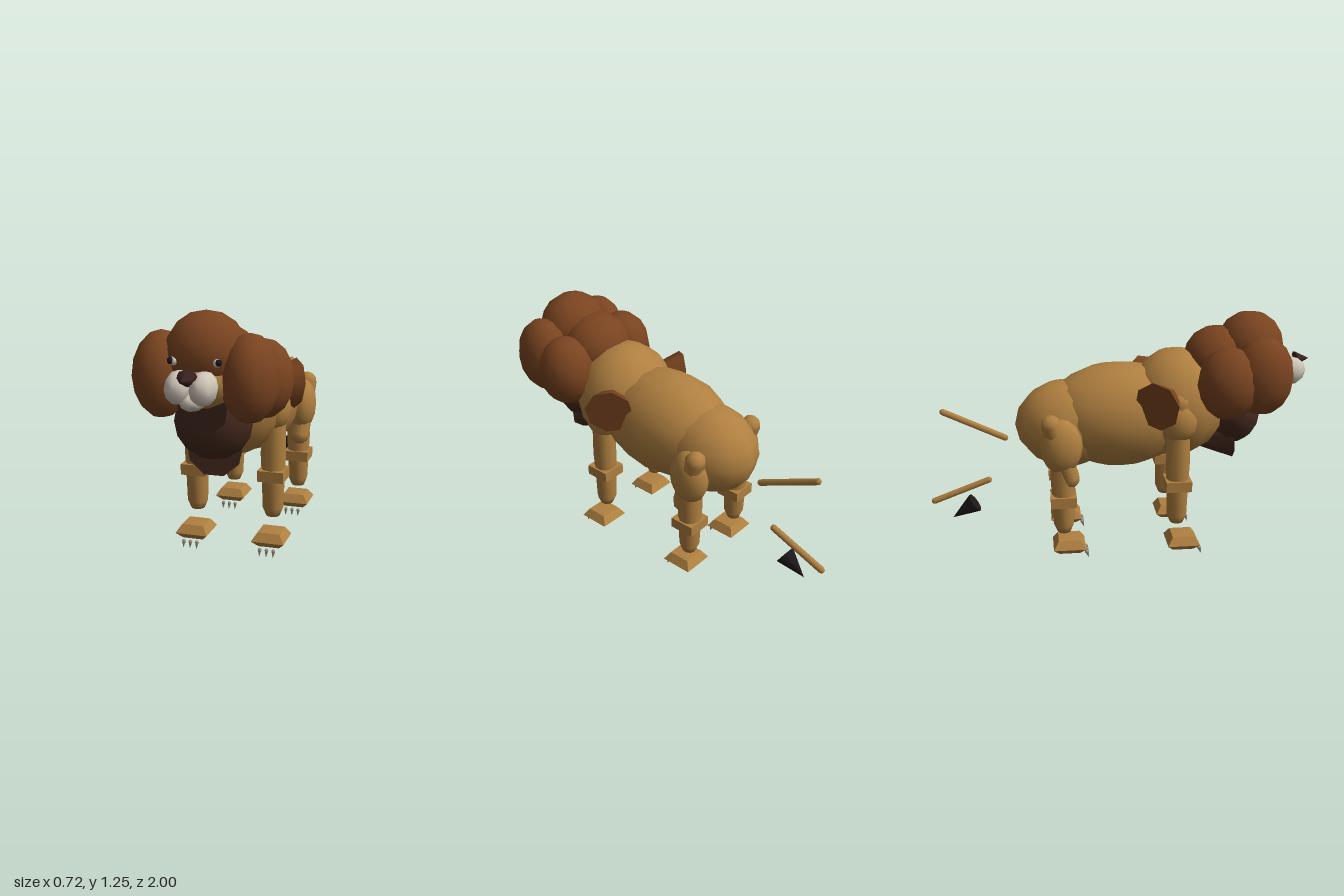
import * as THREE from 'three';

const mat = (color) => new THREE.MeshStandardMaterial({ color });
const fur = mat(0xb08040), maneFur = mat(0x7a4420), ruffFur = mat(0x45291e);
const pale = mat(0xcfc5b8), black = mat(0x1e1819), noseSkin = mat(0x3a2320), claw = mat(0xa09585);
const V = (p) => new THREE.Vector3(...p);
const UP = new THREE.Vector3(0, 1, 0);

export function createModel() {
  const root = new THREE.Group();
  root.name = 'lion';

  const add = (name, geometry, material, pos = [0, 0, 0], parent = root) => {
    const mesh = new THREE.Mesh(geometry, material);
    mesh.name = name;
    mesh.position.set(...pos);
    parent.add(mesh);
    return mesh;
  };
  // Ellipsoid given by centre and three radii
  const blob = (name, material, pos, radii, parent, w = 12, h = 8) => {
    const mesh = add(name, new THREE.SphereGeometry(1, w, h), material, pos, parent);
    mesh.scale.set(...radii);
    return mesh;
  };
  // Round-ended limb between two end points
  const limb = (name, material, a, b, r, parent) => {
    const d = V(b).sub(V(a)), len = d.length();
    const mesh = add(name, new THREE.CapsuleGeometry(r, len - 2 * r, 3, 8), material,
      V(a).add(V(b)).multiplyScalar(0.5).toArray(), parent);
    mesh.quaternion.setFromUnitVectors(UP, d.normalize());
    return mesh;
  };
  // Cone from the centre of its base to its tip
  const spike = (name, material, base, tip, r, sides, parent) => {
    const d = V(tip).sub(V(base));
    const mesh = add(name, new THREE.ConeGeometry(r, d.length(), sides), material,
      V(base).add(V(tip)).multiplyScalar(0.5).toArray(), parent);
    mesh.quaternion.setFromUnitVectors(UP, d.normalize());
    return mesh;
  };

  // Trunk
  blob('torso', fur, [0, 0.72, 0], [0.26, 0.275, 0.4]);
  blob('chest', fur, [0, 0.78, 0.3], [0.265, 0.285, 0.26]);
  blob('hips', fur, [0, 0.68, -0.27], [0.22, 0.23, 0.275]);

  // Head and muzzle
  blob('head', fur, [0, 0.95, 0.7], [0.16, 0.135, 0.16]);
  blob('chin', pale, [0, 0.88, 0.865], [0.058, 0.043, 0.075], root, 8, 6);
  spike('nose', noseSkin, [0, 0.99, 0.925], [0, 0.99, 1], 0.05, 8).scale.z = 0.75;

  // Mane crown, and dark ruff with two tufts
  blob('maneTop', maneFur, [0, 1.06, 0.68], [0.19, 0.187, 0.178]);
  blob('maneBack', maneFur, [0, 1.0, 0.51], [0.19, 0.175, 0.18]);
  blob('ruff', ruffFur, [0, 0.735, 0.6], [0.19, 0.185, 0.145]);
  spike('upperRuffTuft', ruffFur, [0, 0.82, 0.75], [0, 0.84, 0.5], 0.12, 9);
  spike('lowerRuffTuft', ruffFur, [0, 0.6, 0.59], [0, 0.57, 0.3], 0.14, 9);

  // Tail in two lengths, with a tuft
  limb('upperTail', fur, [0, 0.6, -0.585], [0, 0.765, -0.925], 0.017);
  limb('lowerTail', fur, [0, 0.38, -0.68], [0, 0.26, -1.0], 0.017);
  spike('tailTuft', black, [0, 0.246, -0.774], [0, 0.165, -0.895], 0.053, 9);

  for (const [side, s] of [['left', 1], ['right', -1]]) {
    // Face
    blob(side + 'Muzzle', pale, [0.055 * s, 0.94, 0.88], [0.062, 0.075, 0.09], root, 8, 6);
    blob(side + 'EyeWhite', pale, [0.098 * s, 1.042, 0.825], [0.02, 0.02, 0.02], root, 8, 6);
    blob(side + 'Pupil', black, [0.109 * s, 1.045, 0.838], [0.015, 0.016, 0.015], root, 8, 6);

    // Side mane lumps and the tuft behind each shoulder
    blob(side + 'FrontMane', maneFur, [0.205 * s, 0.957, 0.7], [0.13, 0.2, 0.158]);
    blob(side + 'RearMane', maneFur, [0.215 * s, 0.925, 0.525], [0.143, 0.185, 0.158]);
    spike(side + 'ShoulderTuft', maneFur, [0.277 * s, 0.835, 0.155], [0.08 * s, 0.86, 0.3], 0.125, 8);

    // Front leg
    const front = new THREE.Group();
    front.name = side + 'FrontLeg';
    root.add(front);
    blob('shoulder', fur, [0.205 * s, 0.735, 0.28], [0.08, 0.115, 0.098], front);
    limb('upperArm', fur, [0.215 * s, 0.885, 0.28], [0.2 * s, 0.5, 0.28], 0.055, front);
    lowerLeg(front, 0.2 * s, 0.28, 0.17, 0.65, 0.395);
    paw(front, 0.2 * s, 0.31, 0.0);

    // Hind leg
    const hind = new THREE.Group();
    hind.name = side + 'HindLeg';
    root.add(hind);
    blob('haunch', fur, [0.205 * s, 0.62, -0.315], [0.08, 0.145, 0.108], hind);
    limb('thigh', fur, [0.225 * s, 0.79, -0.38], [0.2 * s, 0.4, -0.26], 0.053, hind);
    lowerLeg(hind, 0.19 * s, -0.31, 0.14, 0.55, 0.33);
    paw(hind, 0.185 * s, -0.285, 0.002);
  }

  // Tapered shin with a square knee band
  function lowerLeg(parent, x, z, bottom, top, knee) {
    const profile = [[0, bottom], [0.035, bottom + 0.008], [0.052, bottom + 0.05], [0.058, knee],
      [0.063, knee + 0.1], [0.06, top]].map(([r, y]) => new THREE.Vector2(r, y));
    add('shin', new THREE.LatheGeometry(profile, 10), fur, [x, 0, z], parent);
    add('kneeBand', new THREE.BoxGeometry(0.132, 0.055, 0.132), fur, [x, knee, z], parent);
  }

  // Faceted paw with three claws
  function paw(parent, x, z, lift) {
    const profile = [[0, 0.033], [0.075, 0.036], [0.118, 0.068], [0.08, 0.11], [0, 0.113]]
      .map(([r, y]) => new THREE.Vector2(r, y + lift));
    const foot = add('paw', new THREE.LatheGeometry(profile, 4, Math.PI / 4).toNonIndexed(), fur, [x, 0, z], parent);
    foot.geometry.computeVertexNormals();
    for (const i of [-1, 0, 1]) {
      const cx = x + i * 0.035;
      blob('clawRoot', claw, [cx, 0.034, z + 0.09], [0.01, 0.01, 0.012], parent, 6, 4);
      spike('claw', claw, [cx, 0.034, z + 0.09], [cx, 0.0, z + 0.1], 0.01, 6, parent);
    }
  }

  return root;
}
